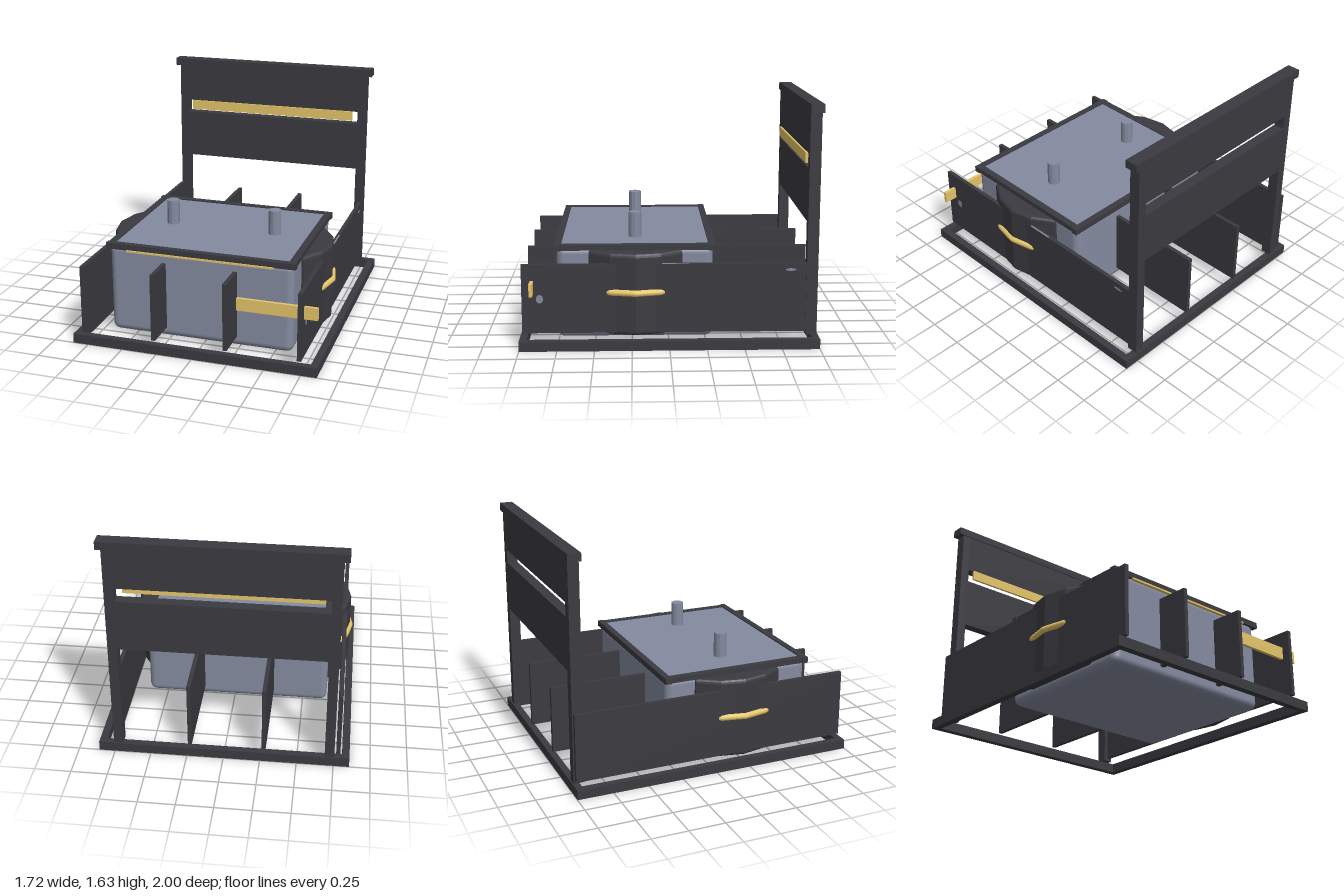
import * as THREE from 'three';
import { RoundedBoxGeometry } from 'three/addons/geometries/RoundedBoxGeometry.js';

const mat = (name, color) => {
  const m = new THREE.MeshStandardMaterial({ color });
  m.name = name;
  return m;
};

export function createModel() {
  const root = new THREE.Group();
  root.name = 'tankOnRack';
  const dark = mat('darkMetal', 0x3b3a40);
  const slate = mat('slateMetal', 0x848b9f);
  const gold = mat('brass', 0xe4c56a);

  const add = (name, geo, m) => {
    const mesh = new THREE.Mesh(geo, m);
    mesh.name = name;
    root.add(mesh);
    return mesh;
  };
  // Box from its minimum and maximum on each axis
  const box = (name, m, x0, x1, y0, y1, z0, z1) =>
    add(name, new THREE.BoxGeometry(x1 - x0, y1 - y0, z1 - z0), m)
      .position.set((x0 + x1) / 2, (y0 + y1) / 2, (z0 + z1) / 2);

  // Open base frame
  for (const s of [-1, 1]) {
    const x = s * 0.833, z = s * 0.976;
    box('baseSideRail', dark, x - 0.025, x + 0.025, 0, 0.067, -1, 1);
    box('baseCrossRail', dark, -0.808, 0.808, 0, 0.067, z - 0.024, z + 0.024);
  }

  // Back rest: posts, two panels, cap rail and brass strip
  for (const s of [-1, 1]) {
    const x = s * 0.7225;
    box('backPost', dark, x - 0.0325, x + 0.0325, 0.067, 1.572, -0.99, -0.915);
  }
  box('lowerBackPanel', dark, -0.69, 0.69, 0.836, 1.196, -0.989, -0.916);
  box('upperBackPanel', dark, -0.69, 0.69, 1.292, 1.572, -0.989, -0.916);
  box('capRail', dark, -0.79, 0.79, 1.571, 1.626, -1, -0.909);
  box('backStrip', gold, -0.65, 0.65, 1.222, 1.293, -0.92, -0.902);

  // Four upright dividers, running back between the posts
  for (const x of [-0.781, -0.276, 0.229, 0.734])
    box('divider', dark, x - 0.014, x + 0.014, 0.092, 0.565, -0.985, 0.985);

  // Tank body with soft edges, sunk into the base frame; lid and raised rim
  const cx = -0.022, cz = 0.23;
  add('tankBody', new RoundedBoxGeometry(1.305, 0.635, 1.056, 4, 0.05), slate)
    .position.set(cx, 0.3375, cz);
  box('lid', slate, -0.645, 0.602, 0.64, 0.664, -0.28, 0.73);
  for (const s of [-1, 1]) {
    const x = cx + s * 0.64, z = cz + s * 0.519;
    box('rimSide', dark, x - 0.024, x + 0.024, 0.632, 0.67, -0.28, 0.74);
    box('rimEnd', dark, cx - 0.67, cx + 0.67, 0.63, 0.672, z - 0.022, z + 0.022);
  }
  box('rimTrim', gold, -0.54, 0.5, 0.622, 0.634, 0.757, 0.78);

  // Faceted lid pegs
  for (const x of [-0.4, 0.355]) {
    const geo = new THREE.CylinderGeometry(0.045, 0.045, 0.19, 12).toNonIndexed();
    geo.computeVertexNormals();
    add('peg', geo, slate).position.set(x, 0.743, 0.228);
  }

  // Faceted side bulges with a brass band: [outward, along z] from the tank centre
  const arc = [[0.62, -0.316], [0.668, -0.316], [0.762, -0.17], [0.797, 0],
    [0.762, 0.17], [0.668, 0.316], [0.62, 0.316]];
  const bevel = 0.025;
  for (const s of [-1, 1]) {
    const shape = new THREE.Shape(arc.map(([x, z]) => new THREE.Vector2(s * x, -z)));
    const geo = new THREE.ExtrudeGeometry(shape, {
      depth: 0.56 - 2 * bevel, bevelThickness: bevel, bevelSize: bevel,
      bevelOffset: -bevel, bevelSegments: 3,
    });
    geo.rotateX(-Math.PI / 2);
    add('sideBulge', geo, dark).position.set(cx, 0.075 + bevel, 0.225);

    // The band follows the facets and runs into the tank wall
    const path = new THREE.CurvePath();
    const pts = [[0.64, -0.325], ...arc.slice(1, -1), [0.64, 0.325]].map(([x, z]) =>
      new THREE.Vector3(cx + s * (x + 0.001), 0.369, 0.225 + z * 0.985));
    for (let i = 1; i < pts.length; i++) path.add(new THREE.LineCurve3(pts[i - 1], pts[i]));
    add('bulgeBand', new THREE.TubeGeometry(path, 40, 0.022, 10), gold);
  }

  // Brass latch bar at the front
  box('latchBar', gold, 0.292, 0.84, 0.367, 0.453, 0.905, 0.928);

  // Small pipe marks on the right-hand divider
  const mark = (ry, rz, y, z) => {
    const m = add('pipeMark', new THREE.CylinderGeometry(1, 1, 1, 14), slate);
    m.rotation.z = -Math.PI / 2;
    m.scale.set(ry, 0.004, rz);
    m.position.set(0.7475, y, z);
  };
  mark(0.029, 0.024, 0.328, 0.865);
  mark(0.009, 0.036, 0.52, -0.81);
  box('pipeTop', slate, 0.736, 0.747, 0.563, 0.567, -0.13, 0.05);

  return root;
}
